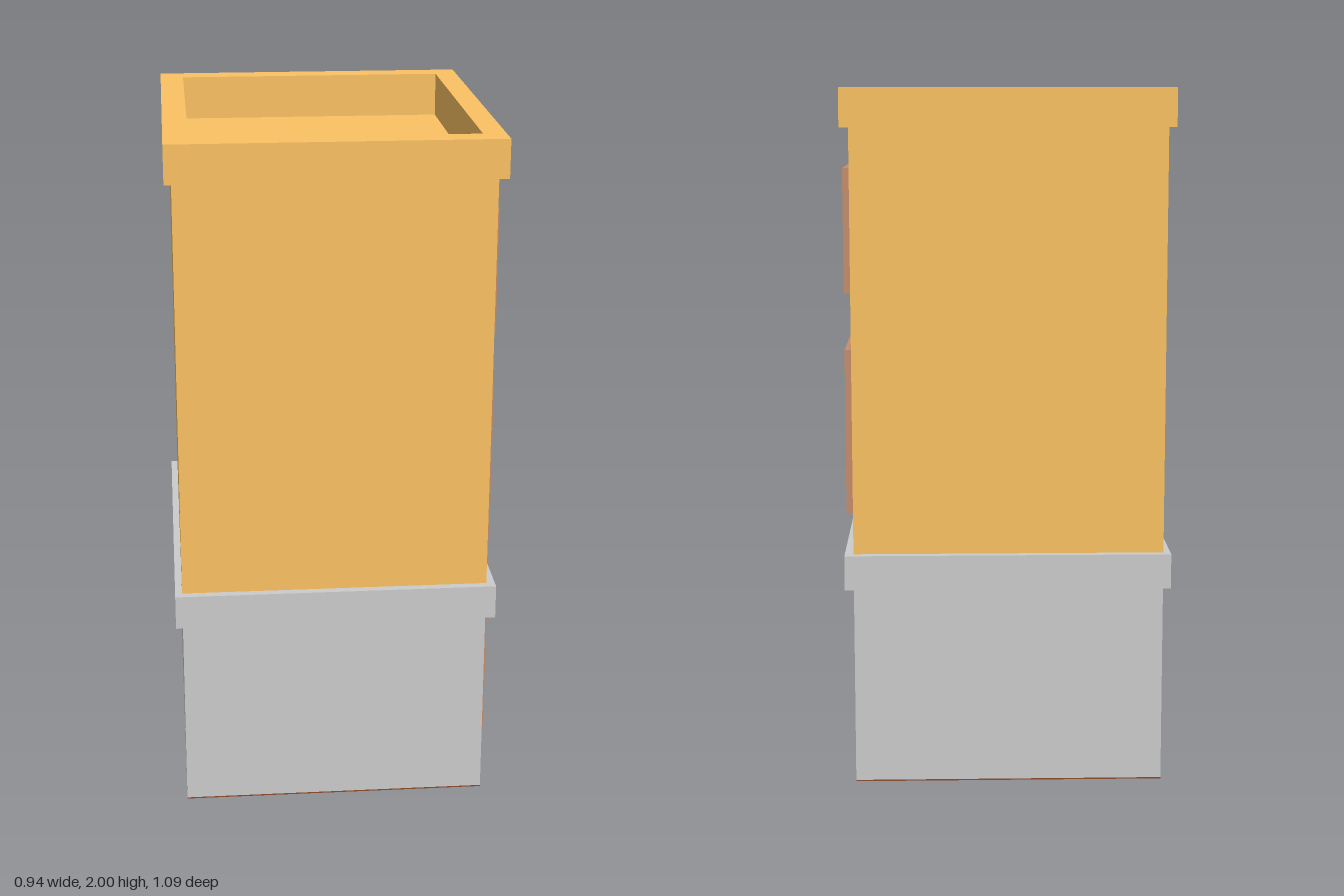
import * as THREE from 'three';

const mat = (color) => new THREE.MeshStandardMaterial({ color, side: THREE.DoubleSide });
const grey = mat(0xcccccc);
const ochre = mat(0xfbc263);
const wood = mat(0xc68d6b);
const doorGrey = mat(0x777777);
const baseBrown = mat(0x8c4a2c);

// rectangle as [left, right, bottom, top]
function outline(path, [l, r, b, t]) {
  path.moveTo(l, b);
  path.lineTo(r, b);
  path.lineTo(r, t);
  path.lineTo(l, t);
  path.closePath();
  return path;
}
const inset = ([l, r, b, t], d) => [l + d, r - d, b + d, t - d];

function add(parent, name, geometry, material) {
  const mesh = new THREE.Mesh(geometry, material);
  mesh.name = name;
  parent.add(mesh);
  return mesh;
}

function box(parent, name, material, [x0, x1], [y0, y1], [z0, z1]) {
  const g = new THREE.BoxGeometry(x1 - x0, y1 - y0, z1 - z0);
  g.translate((x0 + x1) / 2, (y0 + y1) / 2, (z0 + z1) / 2);
  return add(parent, name, g, material);
}

// upright slab facing +x, drawn as seen from that side (u = -z), with holes
function panel(parent, name, material, shape, holes, x0, x1) {
  shape.holes = holes.map((h) => outline(new THREE.Path(), h));
  const g = new THREE.ExtrudeGeometry(shape, { depth: x1 - x0, bevelEnabled: false });
  g.rotateY(Math.PI / 2);
  g.translate(x0, 0, 0);
  return add(parent, name, g, material);
}
const rect = (r) => outline(new THREE.Shape(), r);

// grid of pane openings inside a rectangle
function panes([l, r, b, t], cols, rows, bar) {
  const w = (r - l - bar * (cols - 1)) / cols;
  const h = (t - b - bar * (rows - 1)) / rows;
  const list = [];
  for (let i = 0; i < cols; i++) {
    for (let j = 0; j < rows; j++) {
      const x = l + i * (w + bar), y = b + j * (h + bar);
      list.push([x, x + w, y, y + h]);
    }
  }
  return list;
}

function makeWindow(name, r, rows) {
  const group = new THREE.Group();
  group.name = name;
  const sash = inset(r, 0.024);
  panel(group, 'windowFrame', wood, rect(r), [sash], 0.42, 0.465);
  panel(group, 'windowBars', wood, rect(sash), panes(inset(r, 0.035), 3, rows, 0.018), 0.425, 0.45);
  const [l, r2, b, t] = sash;
  box(group, 'windowGlass', grey, [0.415, 0.424], [b, t], [-r2, -l]);
  return group;
}

// walls behind the facade: two sides and the rear of the shell
function shell(parent, name, material, y) {
  box(parent, name + 'FrontWall', material, [-0.45, 0.40], y, [0.47, 0.52]);
  box(parent, name + 'BackWall', material, [-0.45, 0.40], y, [-0.52, -0.47]);
  box(parent, name + 'RightWall', material, [-0.45, -0.40], y, [-0.47, 0.47]);
}

export function createModel() {
  const model = new THREE.Group();
  model.name = 'townHouse';

  const upperWindows = [
    { name: 'topWindowA', r: [-0.40, -0.08, 1.417, 1.773], rows: 3 },
    { name: 'topWindowB', r: [0.062, 0.393, 1.417, 1.773], rows: 3 },
    { name: 'middleWindowA', r: [-0.40, -0.08, 0.77, 1.253], rows: 4 },
    { name: 'middleWindowB', r: [0.062, 0.393, 0.77, 1.253], rows: 4 },
  ];
  const groundWindow = { name: 'groundWindow', r: [-0.40, -0.07, 0.138, 0.535], rows: 3 };

  // ground floor, its facade notched for the door
  shell(model, 'groundFloor', grey, [0.004, 0.58]);
  const ground = new THREE.Shape();
  [[-0.52, 0.004], [0.053, 0.004], [0.053, 0.54], [0.392, 0.54], [0.392, 0.004], [0.52, 0.004],
    [0.52, 0.58], [-0.52, 0.58]].forEach(([u, y], i) => (i ? ground.lineTo(u, y) : ground.moveTo(u, y)));
  panel(model, 'groundFacade', grey, ground, [inset(groundWindow.r, 0.015)], 0.40, 0.44);

  // underside on both sides of the doorway
  box(model, 'baseWide', baseBrown, [-0.45, 0.44], [0, 0.004], [-0.053, 0.52]);
  box(model, 'baseNarrow', baseBrown, [-0.45, 0.44], [0, 0.004], [-0.52, -0.392]);

  // recessed glazed door
  const door = new THREE.Group();
  door.name = 'door';
  panel(door, 'doorLeaf', doorGrey, rect([0.053, 0.392, 0, 0.54]),
    panes([0.09, 0.358, 0.175, 0.503], 3, 3, 0.016), 0.375, 0.398);
  box(door, 'doorGlass', grey, [0.368, 0.374], [0.16, 0.52], [-0.375, -0.07]);
  model.add(door);

  // band between the storeys
  box(model, 'storeyBand', grey, [-0.47, 0.465], [0.58, 0.68], [-0.545, 0.545]);

  // upper floors
  shell(model, 'upperFloors', ochre, [0.68, 1.89]);
  panel(model, 'upperFacade', ochre, rect([-0.52, 0.52, 0.68, 1.89]),
    upperWindows.map((w) => inset(w.r, 0.015)), 0.40, 0.44);

  for (const w of [...upperWindows, groundWindow]) model.add(makeWindow(w.name, w.r, w.rows));

  // sunken roof inside the parapet ring
  box(model, 'roofDeck', ochre, [-0.40, 0.40], [1.83, 1.87], [-0.47, 0.47]);
  const ring = rect([-0.47, 0.465, -0.545, 0.545]);
  ring.holes.push(outline(new THREE.Path(), [-0.40, 0.40, -0.47, 0.47]));
  const parapet = new THREE.ExtrudeGeometry(ring, { depth: 0.11, bevelEnabled: false });
  parapet.rotateX(-Math.PI / 2);
  parapet.translate(0, 1.89, 0);
  add(model, 'parapet', parapet, ochre);

  return model;
}
